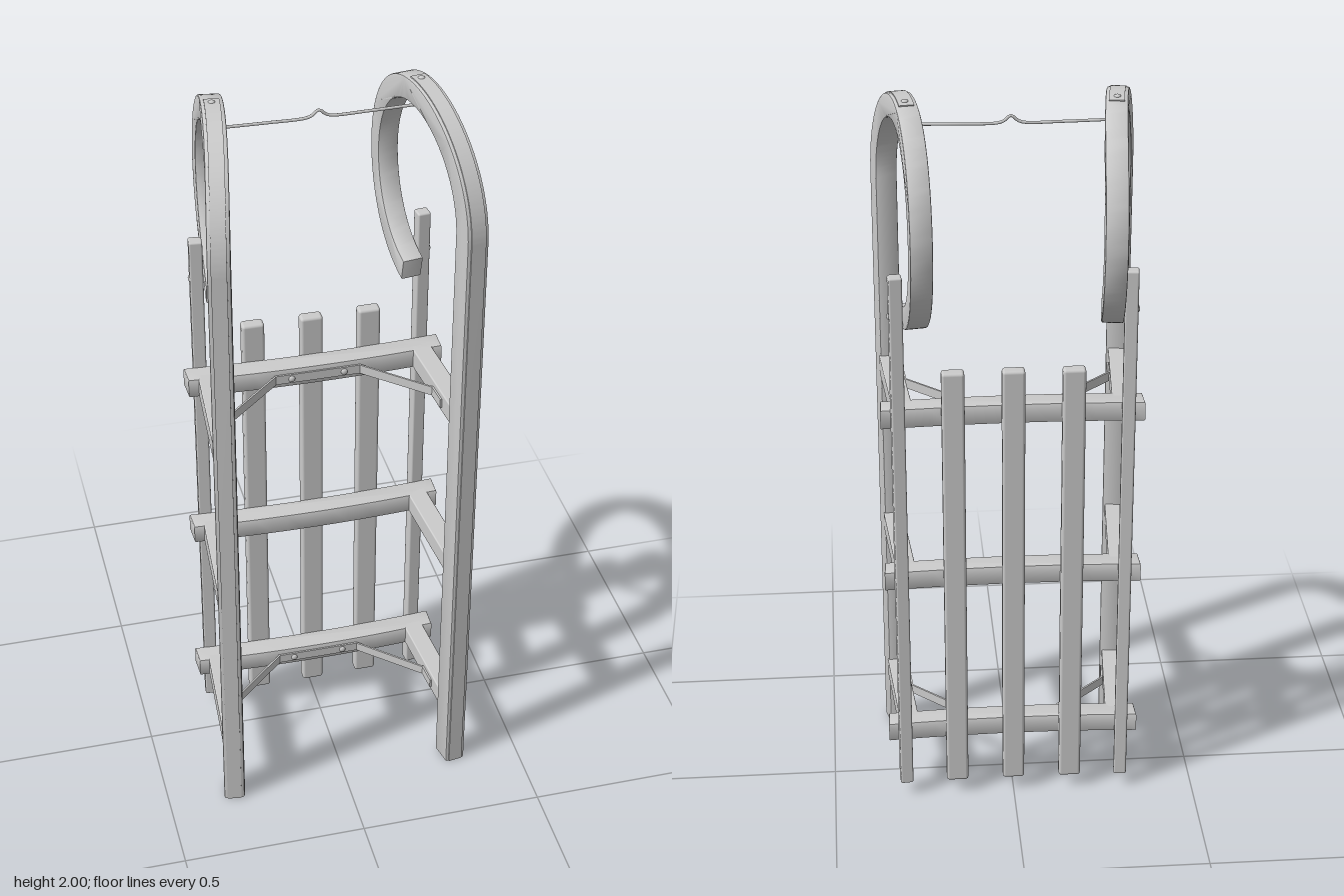
import * as THREE from 'three';
import { toCreasedNormals } from 'three/addons/utils/BufferGeometryUtils.js';
import { RoundedBoxGeometry } from 'three/addons/geometries/RoundedBoxGeometry.js';

const material = new THREE.MeshStandardMaterial({ color: 0xcccccc, roughness: 0.8 });
const BAR_HEIGHT = 0.055;
const ARC_Y = 1.7;

// Distance of the leaning runner from the middle, at depth z
const runnerX = (z) => 0.265 + 0.14 * z + 0.15 * z * z;

// Hooked band: straight leg and arc, bent to the runner's lean
function hookGeometry(inner, outer, endAngle, width, bevel, side) {
  const shape = new THREE.Shape();
  shape.moveTo(-outer, 0);
  shape.lineTo(-outer, ARC_Y);
  shape.absarc(0, ARC_Y, outer, Math.PI, endAngle, true);
  shape.absarc(0, ARC_Y, inner, endAngle, Math.PI, false);
  shape.lineTo(-inner, 0);
  shape.closePath();
  const geo = new THREE.ExtrudeGeometry(shape, {
    depth: width - 2 * bevel, curveSegments: 40, bevelEnabled: bevel > 0,
    bevelThickness: bevel, bevelSize: bevel, bevelOffset: -bevel, bevelSegments: 2,
  });
  geo.translate(0, 0, -width / 2 + bevel);
  geo.rotateY(Math.PI / 2);
  const p = geo.attributes.position;
  for (let i = 0; i < p.count; i++) {
    const d = p.getX(i), z = p.getZ(i);
    p.setX(i, side * runnerX(z) + d);
    p.setZ(i, z - 0.15 * d * side);
  }
  return toCreasedNormals(geo, 0.5);
}

// Slightly bowed crossbar, drawn from above
function crossbarGeometry() {
  const s = new THREE.Shape();
  s.moveTo(-0.345, -0.1);
  s.quadraticCurveTo(0, -0.076, 0.345, -0.1);
  s.lineTo(0.343, -0.041);
  s.quadraticCurveTo(0, -0.015, -0.343, -0.041);
  s.closePath();
  const b = 0.005;
  const geo = new THREE.ExtrudeGeometry(s, {
    depth: BAR_HEIGHT - 2 * b, curveSegments: 16, bevelThickness: b,
    bevelSize: b, bevelOffset: -b, bevelSegments: 2,
  });
  geo.rotateX(Math.PI / 2);
  geo.translate(0, BAR_HEIGHT / 2 - b, 0);
  return toCreasedNormals(geo, 0.5);
}

export function createModel() {
  const model = new THREE.Group();
  model.name = 'sled';

  const add = (name, geo, x = 0, y = 0, z = 0, parent = model) => {
    const mesh = new THREE.Mesh(geo, material);
    mesh.name = name;
    mesh.position.set(x, y, z);
    parent.add(mesh);
    return mesh;
  };

  // Upright box between two points [x, z] of the ground plan
  const beam = (name, a, b, height, thick, radius, y, parent) => {
    const dx = b[0] - a[0], dz = b[1] - a[1], len = Math.hypot(dx, dz);
    const geo = radius
      ? new RoundedBoxGeometry(thick, height, len, 2, radius)
      : new THREE.BoxGeometry(thick, height, len);
    const m = add(name, geo, (a[0] + b[0]) / 2, y, (a[1] + b[1]) / 2, parent);
    m.rotation.y = Math.atan2(dx, dz);
    return m;
  };

  const rivetGeo = new THREE.SphereGeometry(0.009, 14, 10);

  // Runners, their metal strips and the outer slats
  for (const side of [1, -1]) {
    const tag = side > 0 ? 'left' : 'right';
    add(tag + 'Runner', hookGeometry(0.237, 0.297, -Math.PI / 2 + 0.19, 0.056, 0.004, side));
    add(tag + 'RunnerStrip', hookGeometry(0.2965, 0.3, Math.PI / 2 - 0.17, 0.038, 0, side));
    add(tag + 'StripRivet', rivetGeo, side * 0.262, 1.998, -0.028).scale.y = 0.6;

    const slat = add(tag + 'OuterSlat', new RoundedBoxGeometry(0.035, 1.53, 0.034, 2, 0.005),
      side * 0.3, 0.805, -0.111);
    slat.rotation.y = side * 0.1;
    add(tag + 'SlatRivet', rivetGeo, side * 0.317, 1.46, -0.107).scale.x = 0.6;
  }

  // Inner seat slats
  const slatGeo = new RoundedBoxGeometry(0.06, 1.26, 0.035, 2, 0.008);
  for (const x of [-0.157, 0, 0.157]) {
    add('seatSlat', slatGeo, x, 0.67, x ? -0.107 : -0.105);
  }

  // Three frames: crossbar with two posts, braces on the outer two
  const barGeo = crossbarGeometry();
  for (const y of [0.193, 0.678, 1.163]) {
    const frame = new THREE.Group();
    frame.name = 'frame';
    frame.position.y = y;
    model.add(frame);
    add('crossbar', barGeo, 0, 0, 0, frame);
    const braced = y !== 0.678;
    for (const side of [1, -1]) {
      beam('post', [side * 0.288, -0.06], [side * 0.312, 0.245], BAR_HEIGHT, 0.053, 0.004, 0, frame);
      if (!braced) continue;
      beam('braceArm', [side * 0.115, -0.025], [side * 0.273, 0.12], 0.026, 0.005, 0, 0, frame);
      beam('braceFoot', [side * 0.272, 0.119], [side * 0.277, 0.18], 0.026, 0.005, 0, 0, frame);
      add('braceRivet', rivetGeo, side * 0.071, 0, -0.022, frame).scale.z = 0.6;
    }
    if (braced) beam('braceMiddle', [-0.116, -0.026], [0.116, -0.026], 0.026, 0.005, 0, 0, frame);
  }

  // Pull wire with a small loop bump in the middle
  const wire = new THREE.CatmullRomCurve3([
    [-0.25, 1.934], [-0.13, 1.932], [-0.035, 1.932], [-0.018, 1.937], [0, 1.951],
    [0.018, 1.937], [0.035, 1.932], [0.13, 1.932], [0.25, 1.934],
  ].map(([x, y]) => new THREE.Vector3(x, y, -0.015)));
  add('pullWire', new THREE.TubeGeometry(wire, 60, 0.004, 8));

  return model;
}
